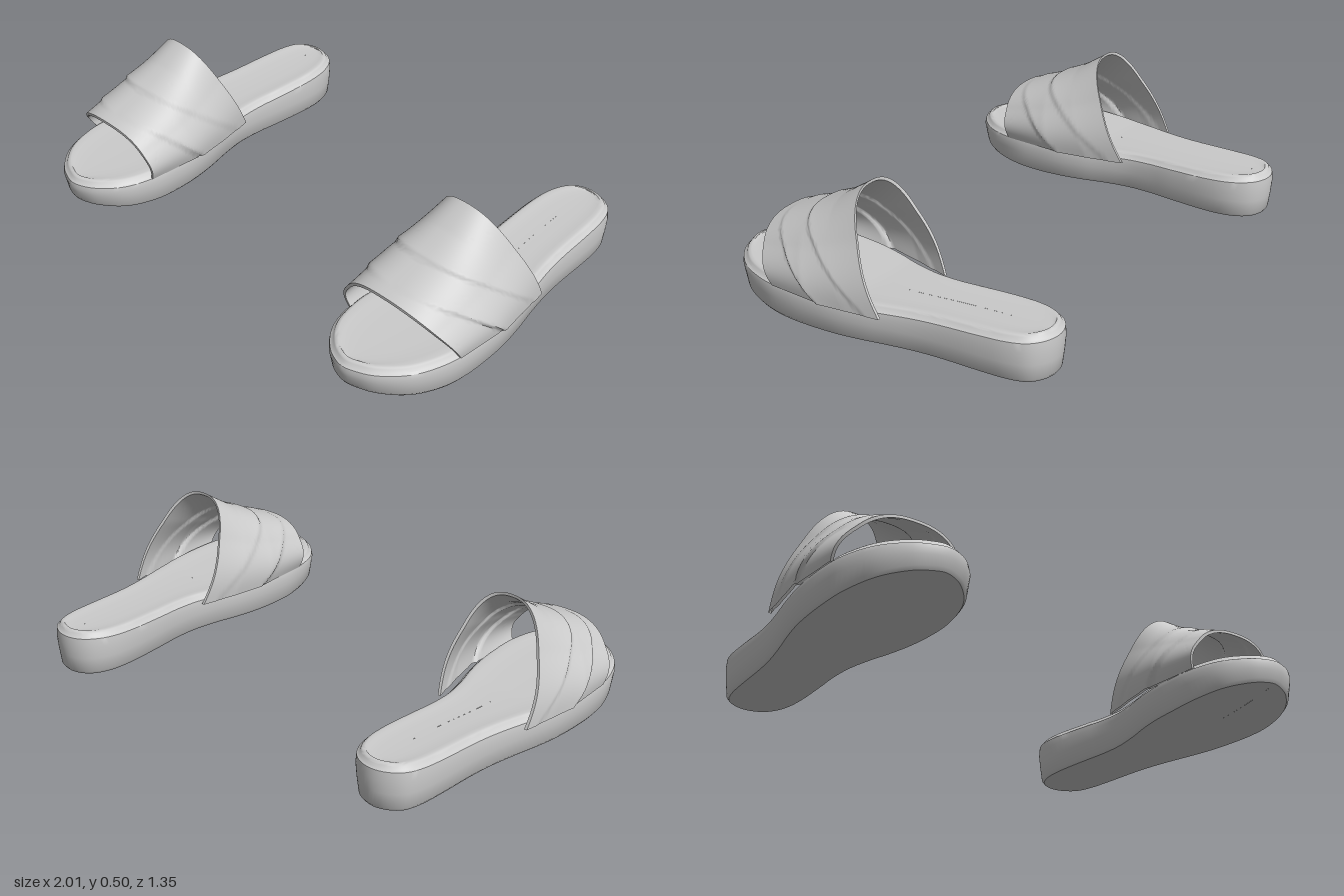
import * as THREE from 'three';
import { toCreasedNormals } from 'three/addons/utils/BufferGeometryUtils.js';

const { lerp, smoothstep, clamp } = THREE.MathUtils;
const material = new THREE.MeshStandardMaterial({ color: 0xcccccc, side: THREE.DoubleSide });

// Skin a list of closed rings; side = -1 mirrors it in x and keeps the faces outward.
function loft(rings, side, crease) {
  const n = rings[0].length, pos = [], index = [];
  rings.forEach(r => r.forEach(p => pos.push(p[0] * side, p[1], p[2])));
  for (let i = 0; i < rings.length - 1; i++) {
    for (let j = 0; j < n; j++) {
      const k = (j + 1) % n;
      const a = i * n + j, b = i * n + k, c = b + n, d = a + n;
      if (side > 0) index.push(a, d, c, a, c, b);
      else index.push(a, c, d, a, b, c);
    }
  }
  const g = new THREE.BufferGeometry();
  g.setAttribute('position', new THREE.Float32BufferAttribute(pos, 3));
  g.setIndex(index);
  return toCreasedNormals(g, crease);
}

// Footprint from heel to toe: z, inner x, outer x
const footprint = [
  [-0.675, 0.74, 0.74], [-0.66, 0.68, 0.80], [-0.62, 0.635, 0.848], [-0.55, 0.606, 0.873],
  [-0.45, 0.597, 0.885], [-0.3, 0.604, 0.896], [-0.2, 0.611, 0.909], [-0.1, 0.608, 0.93],
  [0, 0.588, 0.955], [0.1, 0.56, 0.975], [0.2, 0.54, 0.985], [0.3, 0.531, 0.988],
  [0.4, 0.53, 0.98], [0.5, 0.548, 0.95], [0.57, 0.58, 0.908], [0.63, 0.635, 0.845],
  [0.66, 0.685, 0.785], [0.672, 0.735, 0.735],
];

function soleGeometry(side) {
  const outer = footprint.map(([z, , x]) => new THREE.Vector3(x, 0, z));
  const inner = footprint.slice(1, -1).reverse().map(([z, x]) => new THREE.Vector3(x, 0, z));
  const curve = new THREE.CatmullRomCurve3([...outer, ...inner], true, 'catmullrom', 0.5);
  const N = 136;
  const pts = [], normals = [];
  for (let j = 0; j < N; j++) {
    pts.push(curve.getPoint(j / N));
    const t = curve.getTangent(j / N);
    normals.push([t.z, -t.x]);
  }
  // Toe spring below, rising heel above
  const bottom = z => 0.04 * clamp((z - 0.25) / 0.41, 0, 1) ** 2;
  const lift = z => 0.032 * clamp((-z + 0.05) / 0.68, 0, 1);
  const ring = (inset, y) => pts.map((p, j) => {
    const x = p.x - normals[j][0] * inset, z = p.z - normals[j][1] * inset;
    return [x, y(z), z];
  });
  // Pull a ring towards the centre line of the foot
  const towardSpine = (r, f, drop) => r.map((p, j) => {
    const q = r[(N - j) % N];
    return [lerp(p[0], (p[0] + q[0]) / 2, f), p[1] - drop, lerp(p[2], (p[2] + q[2]) / 2, f)];
  });
  const base = ring(0.02, bottom);
  const top = ring(0.032, z => 0.145 + lift(z));
  return loft([
    towardSpine(base, 1, 0),
    base,
    ring(0.011, z => bottom(z) + 0.012),
    ring(0.004, z => 0.07 + bottom(z) * 0.4),
    ring(0, z => 0.105 + lift(z) * 0.5),
    ring(0.003, z => 0.122 + lift(z)),
    ring(0.012, z => 0.127 + lift(z)),
    ring(0.017, z => 0.138 + lift(z)),
    ring(0.022, z => 0.143 + lift(z)),
    top,
    towardSpine(top, 0.15, 0.003),
    towardSpine(top, 0.5, 0.005),
    towardSpine(top, 1, 0.006),
  ], side, 0.7);
}

// Strap stations from front to back:
// v, inner x, outer x, inner base z, outer base z, apex x, apex y, apex z
const stations = [
  [0, 0.533, 0.987, 0.435, 0.36, 0.735, 0.307, 0.478],
  [0.42, 0.526, 0.992, 0.22, 0.17, 0.74, 0.378, 0.30],
  [0.72, 0.548, 0.978, 0.055, 0.035, 0.742, 0.436, 0.195],
  [1, 0.582, 0.958, -0.09, -0.095, 0.745, 0.503, 0.095],
];

function station(v) {
  let i = 0;
  while (i < stations.length - 2 && v > stations[i + 1][0]) i++;
  const a = stations[i], b = stations[i + 1], f = (v - a[0]) / (b[0] - a[0]);
  return a.map((n, k) => lerp(n, b[k], f));
}

// Raised edge of an overlapping fold, fading away behind its line
function fold(v, line, height) {
  const d = v - line;
  return height * smoothstep(d, -0.015, 0.02) * Math.exp(-Math.max(d, 0) * 5);
}

function strapPoint(angle, v, thickness) {
  const [, xi, xo, zi, zo, ax, ay, az] = station(v);
  const c = Math.cos(angle), s = Math.max(Math.sin(angle), 0);
  const rise = s ** 0.85;
  const across = Math.sign(c) * Math.abs(c) ** 0.82;
  const relief = fold(v, lerp(0.88, 0.4, rise), 0.011) * (0.3 + 0.7 * s)
    + fold(v, lerp(0.46, 0.1, rise), 0.012) * Math.abs(c);
  const grow = relief - thickness + 0.012 * Math.sin(Math.PI * Math.min(1, rise * 1.6)) * Math.abs(c);
  const centre = lerp((xi + xo) / 2, ax, rise);
  const x = centre + across * ((xo - xi) / 2 + grow);
  const y = 0.122 + rise * (ay - 0.122 + relief * s - thickness);
  const z = lerp(lerp(zi, zo, (across + 1) / 2), az, rise);
  return [x, y, z];
}

function strapGeometry(side) {
  const across = 64, along = 56, rings = [];
  for (let i = 0; i <= across; i++) {
    const angle = Math.PI * i / across, ring = [];
    for (let j = along; j >= 0; j--) ring.push(strapPoint(angle, j / along, 0));
    for (let j = 0; j <= along; j++) ring.push(strapPoint(angle, j / along, 0.011));
    rings.push(ring);
  }
  return loft(rings, side, 0.8);
}

function makeSandal(name, side) {
  const sandal = new THREE.Group();
  sandal.name = name;
  const parts = { sole: soleGeometry(side), strap: strapGeometry(side) };
  for (const [part, geometry] of Object.entries(parts)) {
    const mesh = new THREE.Mesh(geometry, material);
    mesh.name = part;
    sandal.add(mesh);
  }
  return sandal;
}

export function createModel() {
  const model = new THREE.Group();
  model.name = 'sandals';
  model.add(makeSandal('leftSandal', 1), makeSandal('rightSandal', -1));
  return model;
}
